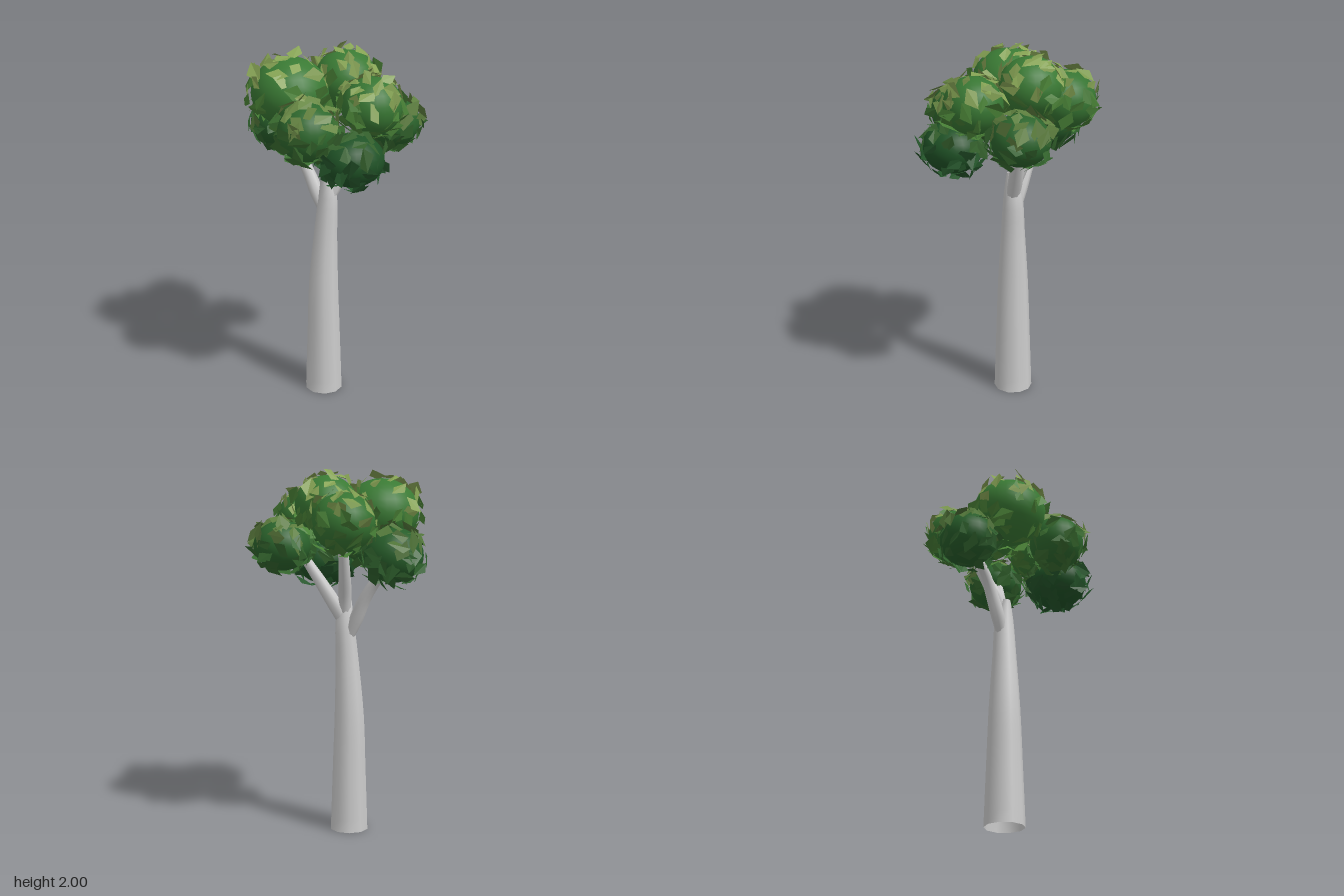
import * as THREE from 'three';

// Small seeded random generator
function seeded(seed) {
  let s = seed;
  return () => {
    s = (s * 1664525 + 1013904223) % 4294967296;
    return s / 4294967296;
  };
}

// Tube through the points [x, y, z, radius], tapering smoothly between radii
function taperedTube(name, points, material, sides, steps = 16) {
  const curve = new THREE.CatmullRomCurve3(points.map(p => new THREE.Vector3(p[0], p[1], p[2])));
  const radii = new THREE.CatmullRomCurve3(points.map(p => new THREE.Vector3(p[3], p[1], 0)));
  const geometry = new THREE.TubeGeometry(curve, steps, 1, sides);
  const pos = geometry.attributes.position;
  const v = new THREE.Vector3();
  for (let i = 0; i <= steps; i++) {
    const centre = curve.getPointAt(i / steps);
    const r = radii.getPointAt(i / steps).x;
    for (let j = 0; j <= sides; j++) {
      const k = i * (sides + 1) + j;
      v.fromBufferAttribute(pos, k).sub(centre).multiplyScalar(r).add(centre);
      pos.setXYZ(k, v.x, i === 0 ? Math.max(v.y, 0) : v.y, v.z);
    }
  }
  geometry.computeVertexNormals();
  // Share the normals across the seam
  const n = geometry.attributes.normal;
  for (let i = 0; i <= steps; i++) {
    const a = i * (sides + 1), b = a + sides;
    v.fromBufferAttribute(n, a).add(new THREE.Vector3().fromBufferAttribute(n, b)).normalize();
    n.setXYZ(a, v.x, v.y, v.z);
    n.setXYZ(b, v.x, v.y, v.z);
  }
  const mesh = new THREE.Mesh(geometry, material);
  mesh.name = name;
  return mesh;
}

// Foliage clumps: centre x, y, z, then radii x, y, z
const clumps = [
  [-0.17, 1.77, -0.10, 0.205, 0.18, 0.205],
  [0.13, 1.81, -0.01, 0.17, 0.155, 0.17],
  [0.165, 1.72, -0.21, 0.165, 0.155, 0.17],
  [0.05, 1.74, 0.30, 0.16, 0.15, 0.155],
  [-0.265, 1.63, 0.17, 0.155, 0.15, 0.15],
  [0.29, 1.59, 0.18, 0.155, 0.135, 0.155],
  [-0.10, 1.49, 0.33, 0.17, 0.135, 0.155],
  [-0.08, 1.55, -0.32, 0.16, 0.145, 0.155],
];

// True when the point lies well inside some other clump
function buried(p, own) {
  return clumps.some((c, i) => i !== own &&
    ((p.x - c[0]) / c[3]) ** 2 + ((p.y - c[1]) / c[4]) ** 2 + ((p.z - c[2]) / c[5]) ** 2 < 0.85);
}

// Corners of one leaf: an uneven kite, slightly folded, kept below the crown's top
function leafCorners(p, normal, size, rand) {
  const q = new THREE.Quaternion().setFromUnitVectors(new THREE.Vector3(0, 0, 1), normal);
  q.multiply(new THREE.Quaternion().setFromEuler(new THREE.Euler(
    (rand() - 0.5) * 1.1, (rand() - 0.5) * 1.1, rand() * Math.PI * 2, 'XYZ')));
  const fold = (rand() - 0.5) * 0.2;
  return [
    [0, -0.55, 0],
    [0.38, 0.05 + rand() * 0.2, fold],
    [0.08, 0.55, 0],
    [-0.38, rand() * 0.3 - 0.2, fold],
  ].map(c => {
    const v = new THREE.Vector3(...c).multiplyScalar(size).applyQuaternion(q).add(p);
    return v.setY(Math.min(v.y, 1.99 + size * 0.1));
  });
}

function leafMesh(name, leaves, color) {
  const data = [];
  for (const [a, b, c, d] of leaves) {
    for (const v of [a, b, c, a, c, d]) data.push(v.x, v.y, v.z);
  }
  const geometry = new THREE.BufferGeometry();
  geometry.setAttribute('position', new THREE.Float32BufferAttribute(data, 3));
  geometry.computeVertexNormals();
  const mesh = new THREE.Mesh(geometry, new THREE.MeshStandardMaterial({
    color, side: THREE.DoubleSide, flatShading: true }));
  mesh.name = name;
  return mesh;
}

export function createModel() {
  const model = new THREE.Group();
  model.name = 'tree';
  const bark = new THREE.MeshStandardMaterial({ color: 0xcccccc, side: THREE.DoubleSide });

  // Trunk, open at the foot
  model.add(taperedTube('trunk', [
    [-0.021, 0, -0.01, 0.108],
    [-0.021, 0.35, -0.01, 0.096],
    [-0.021, 0.65, -0.01, 0.085],
    [-0.012, 0.95, -0.003, 0.067],
    [-0.002, 1.2, 0.005, 0.05],
    [-0.017, 1.31, 0.005, 0.025],
  ], bark, 10, 20));

  // Three branches
  model.add(taperedTube('frontBranch', [
    [0.003, 1.18, 0.012, 0.036],
    [0.05, 1.27, 0.03, 0.04],
    [0.12, 1.4, 0.07, 0.034],
    [0.18, 1.51, 0.11, 0.027],
  ], bark, 8));
  model.add(taperedTube('middleBranch', [
    [0, 1.2, 0.005, 0.03],
    [0.02, 1.32, -0.025, 0.037],
    [0.06, 1.44, -0.075, 0.033],
    [0.11, 1.6, -0.13, 0.026],
  ], bark, 8));
  model.add(taperedTube('backBranch', [
    [-0.008, 1.08, -0.02, 0.025],
    [-0.025, 1.18, -0.06, 0.037],
    [-0.04, 1.3, -0.12, 0.033],
    [-0.06, 1.39, -0.18, 0.029],
    [-0.075, 1.44, -0.23, 0.025],
  ], bark, 8));

  // Foliage: smooth clumps covered with loose leaves, darker lower down
  const rand = seeded(7);
  const lowGreen = new THREE.Color(0x1f5226), highGreen = new THREE.Color(0x3a7a34);
  const lowLeaf = new THREE.Color(0x24552a), highLeaf = new THREE.Color(0x4a8236);
  const lowTip = new THREE.Color(0x34602c), highTip = new THREE.Color(0x86a354);

  clumps.forEach((c, index) => {
    const t = THREE.MathUtils.clamp((c[1] - 1.49) / 0.28, 0, 1);
    const centre = new THREE.Vector3(c[0], c[1], c[2]);
    const radii = new THREE.Vector3(c[3], c[4], c[5]);
    const group = new THREE.Group();
    group.name = `foliageClump${index + 1}`;

    const ball = new THREE.Mesh(new THREE.SphereGeometry(1, 24, 16),
      new THREE.MeshStandardMaterial({ color: lowGreen.clone().lerp(highGreen, t) }));
    ball.name = 'clumpBody';
    ball.position.copy(centre);
    ball.scale.copy(radii);
    group.add(ball);

    // Leaves spread evenly over the clump, skipping those hidden by neighbours
    const upper = [], lower = [];
    const count = 58;
    for (let i = 0; i < count; i++) {
      const y = 1 - 2 * (i + 0.5) / count;
      const angle = i * 2.39996 + (rand() - 0.5) * 0.9;
      const r = Math.sqrt(1 - y * y);
      const normal = new THREE.Vector3(Math.cos(angle) * r, y, Math.sin(angle) * r);
      const p = normal.clone().multiply(radii).multiplyScalar(1.03 + rand() * 0.1).add(centre);
      const corners = leafCorners(p, normal, 0.08 + rand() * 0.04, rand);
      if (buried(p, index)) continue;
      (y + (rand() - 0.5) * 0.6 > 0.2 ? upper : lower).push(corners);
    }
    group.add(leafMesh('upperLeaves', upper, lowTip.clone().lerp(highTip, t)));
    group.add(leafMesh('lowerLeaves', lower, lowLeaf.clone().lerp(highLeaf, t)));
    model.add(group);
  });

  return model;
}
